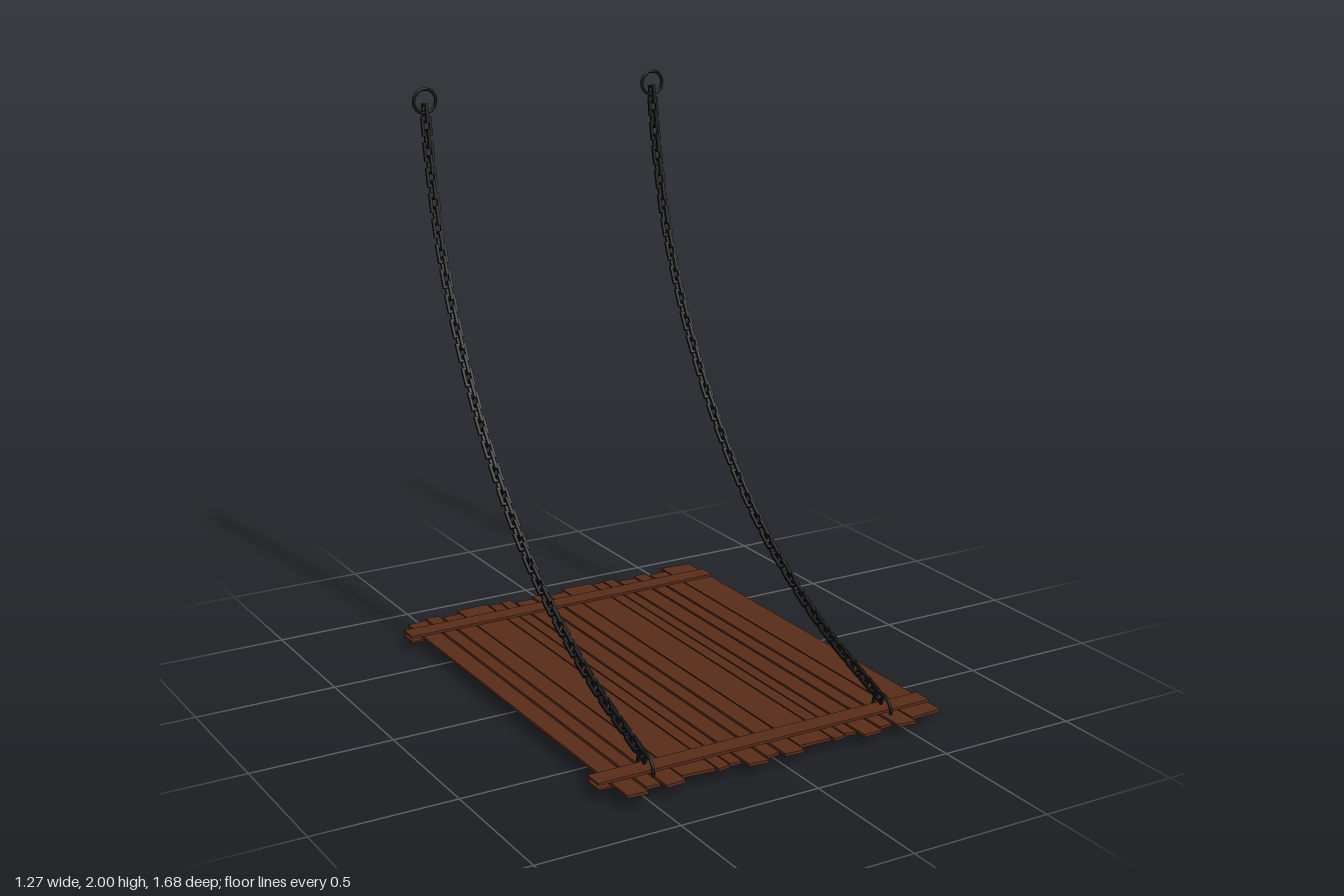
import * as THREE from 'three';

const wood = new THREE.MeshStandardMaterial({ color: 0x5a2c1a, flatShading: true });
const iron = new THREE.MeshStandardMaterial({ color: 0x141414 });

function box(name, x0, x1, y0, y1, z0, z1) {
  const mesh = new THREE.Mesh(new THREE.BoxGeometry(x1 - x0, y1 - y0, z1 - z0), wood);
  mesh.position.set((x0 + x1) / 2, (y0 + y1) / 2, (z0 + z1) / 2);
  mesh.name = name;
  return mesh;
}

function createDeck() {
  const deck = new THREE.Group();
  deck.name = 'deck';
  // Six planks of differing size repeat across the deck: left, right, back, front
  const pattern = [
    [-0.59, -0.52, -0.79, 0.835],
    [-0.51, -0.46, -0.81, 0.81],
    [-0.45, -0.38, -0.79, 0.83],
    [-0.375, -0.255, -0.825, 0.80],
    [-0.25, -0.205, -0.81, 0.81],
    [-0.20, -0.158, -0.82, 0.80],
  ];
  for (let i = 0; i < 16; i++) {
    const [x0, x1, z0, z1] = pattern[i % 6];
    const shift = Math.floor(i / 6) * 0.441;
    const plank = box('plank', x0 + shift, x1 + shift, 0.04, 0.05, z0, z1);
    // Slightly uneven sawn ends
    const p = plank.geometry.attributes.position;
    for (let j = 0; j < p.count; j++) {
      const side = Math.sign(p.getX(j)), end = Math.sign(p.getZ(j));
      p.setZ(j, p.getZ(j) + 0.004 * side * Math.sin(i * 2.3 + end));
    }
    plank.geometry.computeVertexNormals();
    deck.add(plank);
  }
  // Battens clamp the planks above and below at both ends
  for (const z of [-0.69, 0.695]) {
    deck.add(box('upperBatten', -0.635, 0.632, 0.05, 0.059, z - 0.035, z + 0.035));
    deck.add(box('lowerBatten', -0.635, 0.632, 0.033, 0.04, z - 0.035, z + 0.035));
  }
  return deck;
}

// Rectangular open link with its long axis along y
function linkGeometry() {
  const rect = (target, w, h) => {
    target.moveTo(-w, -h);
    target.lineTo(w, -h);
    target.lineTo(w, h);
    target.lineTo(-w, h);
    target.closePath();
    return target;
  };
  const shape = rect(new THREE.Shape(), 0.019, 0.034);
  shape.holes.push(rect(new THREE.Path(), 0.0095, 0.0245));
  const geometry = new THREE.ExtrudeGeometry(shape, { depth: 0.01, bevelEnabled: false });
  geometry.translate(0, 0, -0.005);
  return geometry;
}

function createChain(x, name, link) {
  const chain = new THREE.Group();
  chain.name = name;
  chain.position.x = x;
  // Sagging path from the front of the deck up to the wall
  const path = new THREE.CatmullRomCurve3([
    [0.67, 0.095], [0.405, 0.195], [0.19, 0.305], [-0.07, 0.485], [-0.336, 0.76],
    [-0.55, 1.08], [-0.707, 1.42], [-0.787, 1.72], [-0.818, 1.91],
  ].map(([z, y]) => new THREE.Vector3(0, y, z)));
  const count = 57;
  for (let i = 0; i < count; i++) {
    const u = i / (count - 1);
    const t = path.getTangentAt(u);
    const mesh = new THREE.Mesh(link, iron);
    mesh.name = 'chainLink';
    mesh.position.copy(path.getPointAt(u));
    // Follow the path, every other link turned a quarter
    mesh.rotation.set(Math.atan2(t.z, t.y), i % 2 ? 0 : Math.PI / 2, 0);
    chain.add(mesh);
  }
  // End rings
  const deckRing = new THREE.Mesh(new THREE.TorusGeometry(0.049, 0.006, 8, 28), iron);
  deckRing.name = 'deckRing';
  deckRing.position.set(0, 0.055, 0.70);
  deckRing.rotation.y = Math.PI / 2;
  const wallRing = new THREE.Mesh(new THREE.TorusGeometry(0.042, 0.006, 8, 28), iron);
  wallRing.name = 'wallRing';
  wallRing.position.set(0, 1.952, -0.82);
  chain.add(deckRing, wallRing);
  return chain;
}

export function createModel() {
  const model = new THREE.Group();
  model.name = 'chainedDrawbridge';
  const link = linkGeometry();
  model.add(
    createDeck(),
    createChain(0.46, 'leftChain', link),
    createChain(-0.45, 'rightChain', link),
  );
  return model;
}
